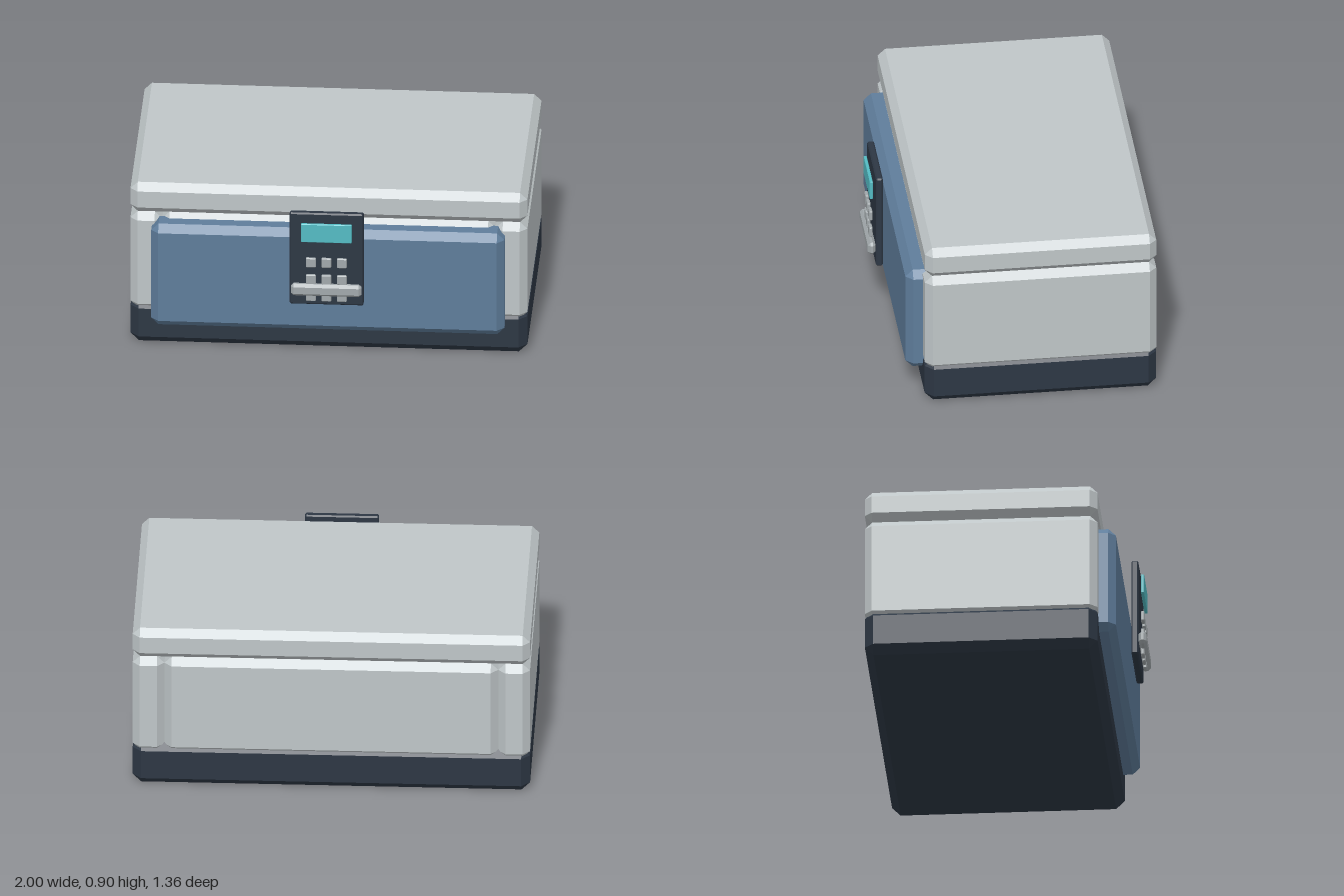
import * as THREE from 'three';
import { ConvexGeometry } from 'three/addons/geometries/ConvexGeometry.js';

const paint = (color) => new THREE.MeshStandardMaterial({ color, flatShading: true });

// Box with every edge and corner cut by a chamfer of size c
function chamferBox(w, h, d, c) {
  const half = [w / 2, h / 2, d / 2];
  const points = [];
  for (let axis = 0; axis < 3; axis++) {
    for (const sx of [-1, 1]) for (const sy of [-1, 1]) for (const sz of [-1, 1]) {
      const p = [sx, sy, sz].map((s, i) => s * (half[i] - (i === axis ? 0 : c)));
      points.push(new THREE.Vector3(...p));
    }
  }
  return new ConvexGeometry(points);
}

export function createModel() {
  const model = new THREE.Group();
  model.name = 'storageCase';

  const shell = paint(0xbfc6c8);
  const dark = paint(0x2d3744);
  const blue = paint(0x5f7d9b);
  const cyan = paint(0x54bcc4);
  const metal = paint(0xa2a9ac);

  // Adds a chamfered block spanning the given [min, max] ranges
  function block(parent, name, material, x, y, z, c) {
    const size = [x, y, z].map(([a, b]) => b - a);
    const mesh = new THREE.Mesh(chamferBox(...size, c), material);
    mesh.position.set(...[x, y, z].map(([a, b]) => (a + b) / 2));
    mesh.name = name;
    parent.add(mesh);
    return mesh;
  }

  // Case: base, core, side walls and lid, all flush front and back
  const depth = [-0.68, 0.493];
  const bodyHeight = [0.19, 0.733];
  block(model, 'base', dark, [-1, 1], [0, 0.243], depth, 0.043);
  block(model, 'bodyCore', shell, [-0.84, 0.84], bodyHeight, depth, 0.037);
  block(model, 'leftWall', shell, [0.84, 1], bodyHeight, depth, 0.037);
  block(model, 'rightWall', shell, [-1, -0.84], bodyHeight, depth, 0.037);
  block(model, 'lid', shell, [-1, 1], [0.733, 0.897], depth, 0.037);

  // Blue front panel
  block(model, 'frontPanel', blue, [-0.89, 0.89], [0.14, 0.708], [0.42, 0.578], 0.037);

  // Keypad with screen, 3 x 3 buttons and a pull bar
  const keypad = new THREE.Group();
  keypad.name = 'keypad';
  model.add(keypad);
  block(keypad, 'keypadPlate', dark, [-0.186, 0.186], [0.328, 0.842], [0.608, 0.643], 0.007);
  block(keypad, 'screen', cyan, [-0.128, 0.128], [0.69, 0.792], [0.652, 0.668], 0.003);
  for (const y of [0.574, 0.479, 0.384]) {
    for (const x of [-0.078, 0, 0.078]) {
      block(keypad, 'button', metal, [x - 0.025, x + 0.025], [y - 0.026, y + 0.026], [0.65, 0.668], 0.004);
    }
  }
  block(keypad, 'pullBar', metal, [-0.178, 0.178], [0.391, 0.456], [0.643, 0.683], 0.014);

  return model;
}
